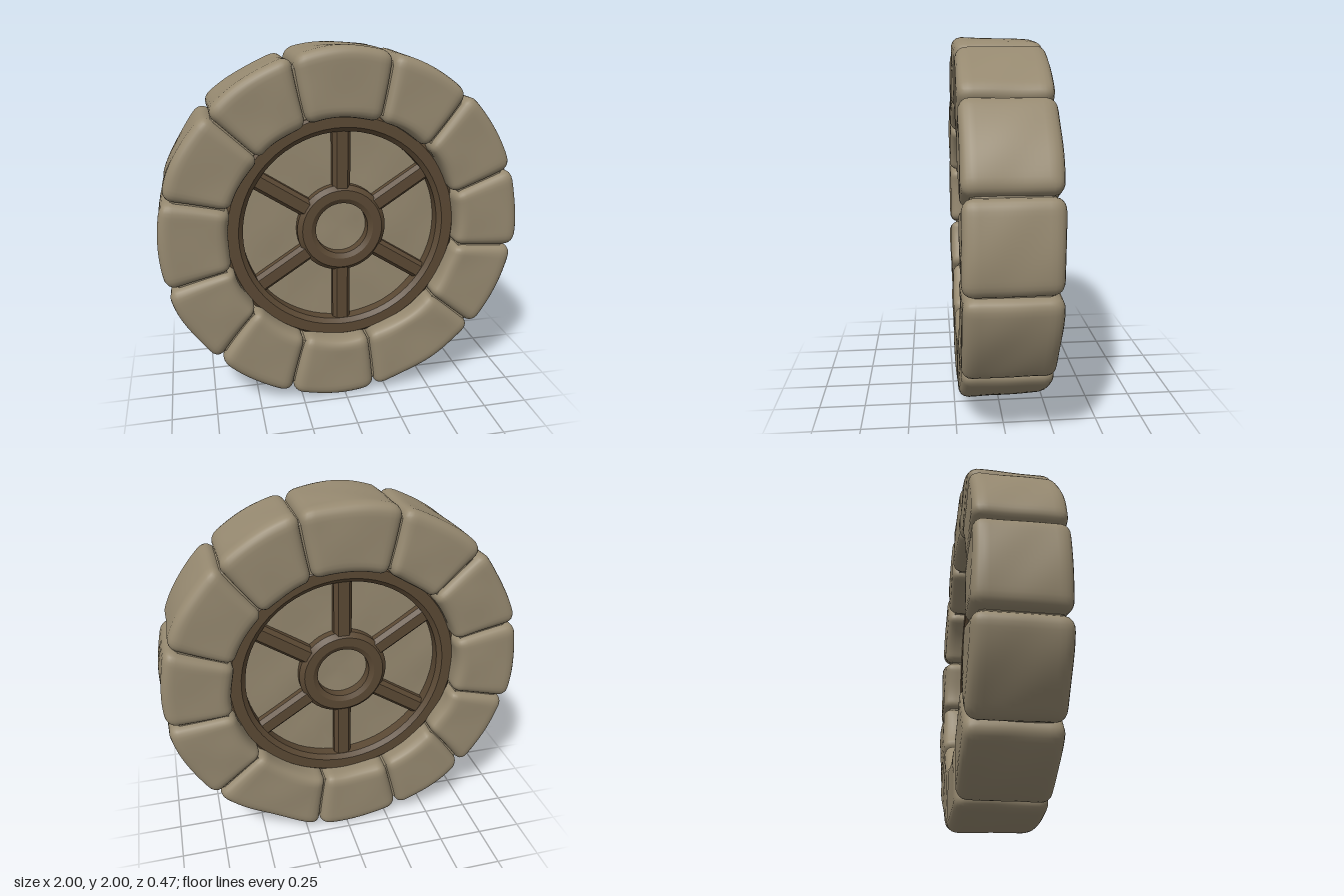
import * as THREE from 'three';
import { mergeVertices, toCreasedNormals } from 'three/addons/utils/BufferGeometryUtils.js';

const DEG = Math.PI / 180;
const stone = new THREE.MeshStandardMaterial({ color: 0x968970 });
stone.name = 'stone';
const wood = new THREE.MeshStandardMaterial({ color: 0x5b4934 });
wood.name = 'darkWood';

// Joints between rim blocks: [angle at the tread, angle at the inner edge], degrees
const joints = [
  [106.4, 109], [75.3, 73], [48.3, 46], [19, 17.6], [-8, -10], [-39.3, -39],
  [-79.8, -78], [-108.6, -111], [-136.3, -141], [-165.8, -166], [-194.6, -196], [-223.7, -224],
];
const R_IN = 0.635, R_OUT = 0.995, HALF_Z = 0.231;

// Smooth hewn-stone unevenness
function dents(x, y, z, seed) {
  return Math.sin(9 * x + 5 * y + seed) * Math.sin(8 * y - 6 * z + seed * 2.3)
    + 0.6 * Math.sin(17 * x - 11 * z + seed * 1.7) * Math.sin(15 * y + 9 * z + seed);
}

function smooth(geo) {
  geo.deleteAttribute('uv');
  geo.deleteAttribute('normal');
  const merged = mergeVertices(geo, 1e-4);
  merged.computeVertexNormals();
  return merged;
}

// One rim block: a box with rounded edges, bent around the wheel
function rimBlock(a, b, seed) {
  const height = R_OUT - R_IN;
  const width = Math.abs(a[0] - b[0]) * DEG * 0.82;
  const half = [width / 2, height / 2, HALF_Z];
  const round = 0.055;
  const geo = new THREE.BoxGeometry(width, height, HALF_Z * 2, 20, 16, 18);
  const pos = geo.attributes.position;
  const v = new THREE.Vector3(), core = new THREE.Vector3();
  for (let i = 0; i < pos.count; i++) {
    v.fromBufferAttribute(pos, i);
    core.set(...v.toArray().map((c, k) => THREE.MathUtils.clamp(c, -half[k] + round, half[k] - round)));
    v.sub(core).normalize().multiplyScalar(round).add(core);
    const u = v.x / width + 0.5, t = v.y / height + 0.5;
    const start = THREE.MathUtils.lerp(a[1], a[0], t), end = THREE.MathUtils.lerp(b[1], b[0], t);
    const angle = THREE.MathUtils.lerp(start - 0.1, end + 0.1, u) * DEG;
    const n = dents(v.x, v.y, v.z, seed);
    // wide blocks have a slightly flattened tread
    const flat = Math.max(0, width - 0.45) * 0.18 * t * Math.sin(Math.PI * u);
    const r = R_IN + t * height + n * 0.005 - flat;
    const z = v.z * (1 + 0.012 * n);
    pos.setXYZ(i, r * Math.cos(angle), r * Math.sin(angle), z);
  }
  return smooth(geo);
}

// Ring or disc turned around the z axis from a [radius, z] profile
function turned(profile, segments = 64) {
  const geo = new THREE.LatheGeometry(profile.map(p => new THREE.Vector2(...p)), segments);
  return geo.rotateX(Math.PI / 2);
}

function addMesh(parent, geo, material, name) {
  const mesh = new THREE.Mesh(geo, material);
  mesh.name = name;
  parent.add(mesh);
  return mesh;
}

// Wooden frame for one face of the wheel
function spokedFrame() {
  const frame = new THREE.Group();
  const ring = [[0.55, 0.03], [0.65, 0.03], [0.65, 0.115], [0.635, 0.13], [0.575, 0.13], [0.55, 0.108], [0.55, 0.03]];
  addMesh(frame, toCreasedNormals(turned(ring), 0.5), wood, 'frameRing');
  const hub = [[0.148, 0.03], [0.25, 0.03], [0.25, 0.09], [0.225, 0.115], [0.175, 0.115], [0.148, 0.1], [0.148, 0.03]];
  addMesh(frame, toCreasedNormals(turned(hub, 48), 0.5), wood, 'hubRing');

  const section = new THREE.Shape([
    [-0.05, 0], [0.05, 0], [0.05, 0.045], [0.03, 0.07], [-0.03, 0.07], [-0.05, 0.045],
  ].map(p => new THREE.Vector2(...p)));
  const spoke = new THREE.ExtrudeGeometry(section, { depth: 0.36, bevelEnabled: false });
  spoke.rotateX(Math.PI / 2).translate(0, -0.21, 0.035);
  for (const angle of [0, 57, 123, 180, 237, 303]) {
    addMesh(frame, spoke, wood, 'spoke').rotation.z = angle * DEG;
  }
  return frame;
}

export function createModel() {
  const model = new THREE.Group();
  model.name = 'stoneWheel';
  const wheel = new THREE.Group();
  wheel.name = 'wheel';
  wheel.position.y = 1;
  model.add(wheel);

  // Rim blocks
  joints.forEach((a, i) => {
    const next = joints[(i + 1) % joints.length];
    const b = i === joints.length - 1 ? next.map(d => d - 360) : next;
    addMesh(wheel, rimBlock(a, b, i * 1.9 + 0.6), stone, 'rimBlock');
  });

  // Core that closes the joints between blocks
  const core = [[0.67, -0.19], [0.93, -0.19], [0.95, -0.17], [0.95, 0.17], [0.93, 0.19], [0.67, 0.19], [0.67, -0.19]];
  addMesh(wheel, toCreasedNormals(turned(core), 0.5), stone, 'rimCore');

  // Uneven stone disc behind the spokes
  const radii = [0, 0.1, 0.2, 0.3, 0.4, 0.5, 0.6, 0.68];
  const disc = turned([...radii.map(r => [r, -0.045]), ...radii.toReversed().map(r => [r, 0.045])], 40);
  const pos = disc.attributes.position;
  for (let i = 0; i < pos.count; i++) {
    const z = pos.getZ(i);
    pos.setZ(i, z + Math.sign(z) * 0.005 * dents(pos.getX(i), pos.getY(i), z, 2));
  }
  addMesh(wheel, toCreasedNormals(smooth(disc), 0.8), stone, 'innerDisc');

  // Frames on both faces
  const front = spokedFrame();
  front.name = 'frontFrame';
  const back = spokedFrame();
  back.name = 'backFrame';
  back.rotation.y = Math.PI;
  wheel.add(front, back);
  return model;
}
